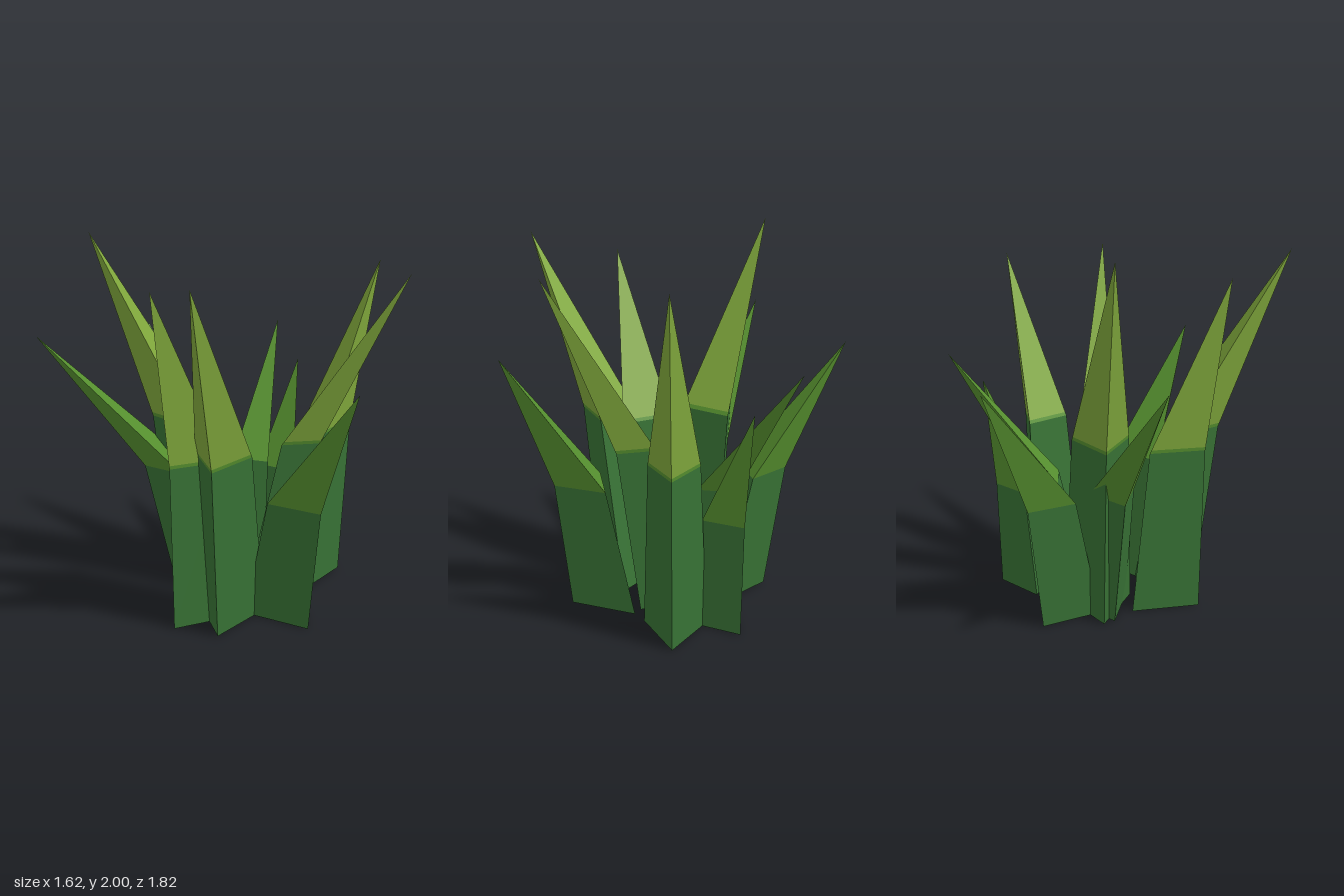
import * as THREE from 'three';

const makeMaterial = (name, color) => {
  const m = new THREE.MeshStandardMaterial({ color, flatShading: true });
  m.name = name;
  return m;
};

// Each blade: tip [x, y, z], centre of the bend [x, z], radius at the bend,
// inward shift of the root (share of the tip's overhang), and whether it is a tall blade
const BLADES = [
  { tip: [-0.10, 1.39, 0.91], bend: [-0.002, 0.497], r: 0.171, k: 0.28 },
  { tip: [0.41, 1.87, 0.82], bend: [0.208, 0.305], r: 0.12, k: 0.33, tall: true },
  { tip: [-0.81, 1.93, 0.53], bend: [-0.353, 0.259], r: 0.171, k: 0.29, tall: true },
  { tip: [0.81, 1.84, 0.36], bend: [0.543, 0.229], r: 0.152, k: 0.26, tall: true },
  { tip: [-0.63, 1.83, 0.08], bend: [-0.347, 0.056], r: 0.173, k: 0.19, tall: true },
  { tip: [0.71, 1.21, -0.12], bend: [0.525, -0.08], r: 0.133, k: 0.25 },
  { tip: [0.78, 1.40, -0.34], bend: [0.322, -0.12], r: 0.12, k: 0.28 },
  { tip: [-0.34, 2.0, -0.71], bend: [-0.083, -0.28], r: 0.173, k: 0.3, tall: true },
  { tip: [-0.64, 1.47, -0.82], bend: [-0.17, -0.30], r: 0.14, k: 0.28 },
  { tip: [0.24, 1.39, -0.91], bend: [0.162, -0.443], r: 0.154, k: 0.306 },
];

// Three-cornered cross-section with one corner pointing along the lean
function ring(x, y, z, r, angle) {
  return [0, 1, 2].map((i) => {
    const a = angle + (i * Math.PI * 2) / 3;
    return new THREE.Vector3(x + r * Math.cos(a), y, z + r * Math.sin(a));
  });
}

// Faces between two cross-sections; a null upper ring closes to the point
function skin(lower, upper, point, capped) {
  const pts = [];
  for (let i = 0; i < 3; i++) {
    const j = (i + 1) % 3;
    if (upper) pts.push(lower[i], upper[i], lower[j], lower[j], upper[i], upper[j]);
    else pts.push(lower[i], point, lower[j]);
  }
  if (capped) pts.push(lower[0], lower[1], lower[2]);
  const g = new THREE.BufferGeometry().setFromPoints(pts);
  g.computeVertexNormals();
  return g;
}

export function createModel() {
  const darkGreen = makeMaterial('dark green', 0x387235);
  const midGreen = makeMaterial('leaf green', 0x56902f);
  const lime = makeMaterial('lime green', 0x80a83c);

  const model = new THREE.Group();
  model.name = 'grassTuft';

  BLADES.forEach(({ tip, bend, r, k, tall }, index) => {
    const blade = new THREE.Group();
    blade.name = `blade${index + 1}`;
    const add = (name, geometry, material) => {
      const mesh = new THREE.Mesh(geometry, material);
      mesh.name = name;
      blade.add(mesh);
    };

    const dx = tip[0] - bend[0];
    const dz = tip[2] - bend[1];
    const angle = Math.atan2(dz, dx);
    const point = new THREE.Vector3(...tip);
    const root = ring(bend[0] - k * dx, 0, bend[1] - k * dz, r / 0.8, angle);
    const middle = ring(bend[0], tip[1] / 2, bend[1], r, angle);

    // Stalk
    add('stalk', skin(root, middle, null, true), darkGreen);

    // Tall blades have a narrow band below a paler point
    if (tall) {
      const bandTop = middle.map((p) => p.clone().lerp(point, 0.02));
      add('band', skin(middle, bandTop), midGreen);
      add('bladeTip', skin(bandTop, null, point), lime);
    } else {
      add('bladeTip', skin(middle, null, point), midGreen);
    }
    model.add(blade);
  });

  return model;
}
